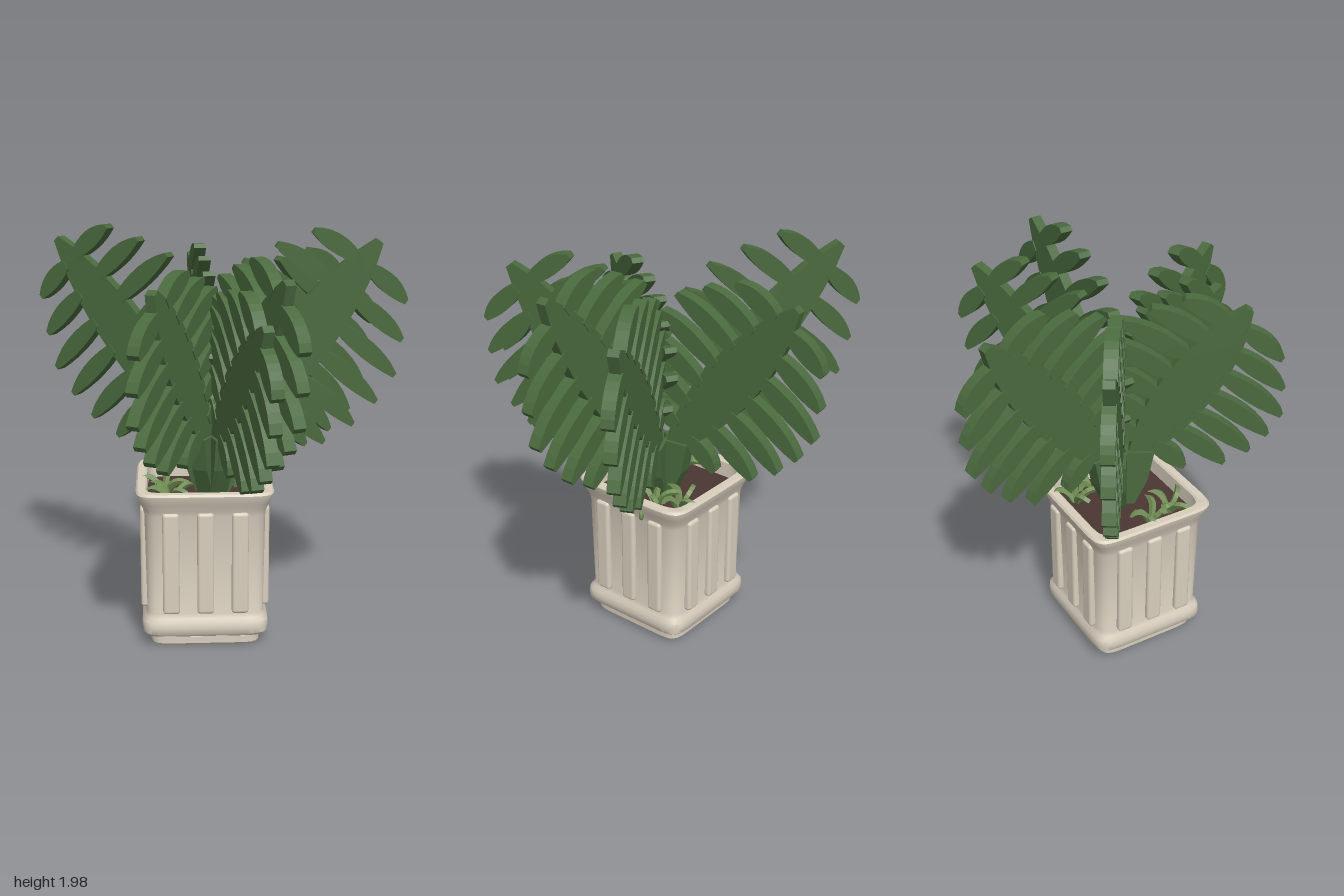
import * as THREE from 'three';
import { toCreasedNormals } from 'three/addons/utils/BufferGeometryUtils.js';
import { RoundedBoxGeometry } from 'three/addons/geometries/RoundedBoxGeometry.js';

const colour = (name, hex) => {
  const m = new THREE.MeshStandardMaterial({ color: hex });
  m.name = name;
  return m;
};

// Lathe whose round section is pushed out to a rounded square
function squareLathe(profile) {
  const geo = new THREE.LatheGeometry(profile.map(([r, y]) => new THREE.Vector2(r, y)), 96);
  const p = geo.attributes.position;
  for (let i = 0; i < p.count; i++) {
    const x = p.getX(i), z = p.getZ(i), r = Math.hypot(x, z);
    if (r < 1e-6) continue;
    const n = 9;
    const k = Math.pow(Math.abs(x / r) ** n + Math.abs(z / r) ** n, -1 / n);
    p.setX(i, x * k);
    p.setZ(i, z * k);
  }
  return toCreasedNormals(geo, 0.7);
}

// Flat plate centred on z = 0
function plate(shape, depth, segments = 6) {
  const geo = new THREE.ExtrudeGeometry(shape, { depth, bevelEnabled: false, curveSegments: segments });
  return geo.translate(0, 0, -depth / 2);
}

// Lance-shaped leaf lying along +x
function bladeShape(length) {
  const s = new THREE.Shape();
  s.moveTo(0, -0.04);
  s.bezierCurveTo(length * 0.3, -0.16, length * 0.7, -0.165, length, -0.018);
  s.lineTo(length, 0.018);
  s.bezierCurveTo(length * 0.7, 0.165, length * 0.3, 0.16, 0, 0.04);
  return s;
}

// Small side leaf along +x, its tip drooping to -y
function leafletShape(length) {
  const s = new THREE.Shape(), w = 0.046;
  s.moveTo(0, -0.028);
  s.quadraticCurveTo(length * 0.5, -w * 1.45, length, -0.035);
  s.lineTo(length, -0.008);
  s.quadraticCurveTo(length * 0.6, w * 1.5, 0, 0.028);
  return s;
}

export function createModel() {
  const stone = colour('pale stone', 0xd8cebd);
  const earth = colour('dark soil', 0x4b3531);
  const leaf = colour('leaf green', 0x4a6a3e);
  const young = colour('young green', 0x728f55);
  const model = new THREE.Group();
  model.name = 'pottedPlant';
  const add = (parent, name, geo, mat) => {
    const m = new THREE.Mesh(geo, mat);
    m.name = name;
    parent.add(m);
    return m;
  };

  // Pot: foot, bead, wall, flared rim and inner lip
  const pot = new THREE.Group();
  pot.name = 'pot';
  pot.position.set(-0.075, 0, 0.035);
  model.add(pot);
  add(pot, 'potBody', squareLathe([
    [0, 0], [0.255, 0], [0.264, 0.01], [0.264, 0.045], [0.255, 0.055],
    [0.29, 0.058], [0.303, 0.072], [0.306, 0.1], [0.303, 0.13], [0.29, 0.148],
    [0.282, 0.17], [0.29, 0.66], [0.298, 0.69], [0.313, 0.725], [0.325, 0.755],
    [0.328, 0.77], [0.32, 0.781], [0.285, 0.781], [0.276, 0.772], [0.272, 0.66],
  ]), stone);

  // Three raised ribs on each wall
  const rib = new RoundedBoxGeometry(0.08, 0.505, 0.04, 3, 0.016);
  for (let side = 0; side < 4; side++) {
    const wall = new THREE.Group();
    wall.name = 'wallRibs';
    wall.rotation.y = side * Math.PI / 2;
    pot.add(wall);
    for (const x of [-0.164, 0, 0.164]) add(wall, 'rib', rib, stone).position.set(x, 0.43, 0.29);
  }
  add(pot, 'soil', squareLathe([[0.274, 0.695], [0, 0.7]]), earth);

  // Fronds: horizontal direction (x, z), reach and height of the main blade tip
  const fronds = [
    [-0.84, -0.55, 0.9, 1.89],
    [-0.1, -0.9, 0.71, 1.79],
    [0.85, -0.41, 0.83, 1.76],
    [0.94, -0.02, 0.79, 1.915],
    [0.36, 0.83, 0.74, 1.81],
    [0.24, 0.82, 0.73, 1.62],
    [-0.39, 0.72, 0.59, 1.75],
  ];
  const reach = [0.24, 0.39, 0.45, 0.47, 0.46, 0.38, 0.28];
  const stem = new THREE.Shape([[-0.03, 0.66], [0.06, 0.66], [0.14, 0.84], [0.17, 1.0], [0.03, 1.0]]
    .map(([x, y]) => new THREE.Vector2(x, y)));
  const stemGeo = plate(stem, 0.08);

  for (const [dx, dz, r, y] of fronds) {
    const frond = new THREE.Group();
    frond.name = 'frond';
    frond.position.set(-0.03, 0, 0.035);
    frond.rotation.y = Math.atan2(-dz, dx);
    model.add(frond);
    add(frond, 'stem', stemGeo, leaf);

    const blade = new THREE.Group();
    blade.name = 'blade';
    blade.position.set(0.08, 0.98, 0);
    blade.rotation.z = Math.atan2(y - 0.98, r - 0.08);
    frond.add(blade);
    const length = Math.hypot(y - 0.98, r - 0.08);
    add(blade, 'mainLeaf', plate(bladeShape(length), 0.05, 12), leaf);

    // Paired side leaves standing out across the main leaf
    reach.forEach((end, i) => {
      const t = 0.1 + i * 0.132;
      const start = 0.015 + 0.09 * Math.sin(Math.PI * t);
      const geo = plate(leafletShape(end - start), 0.06);
      for (const side of [-1, 1]) {
        const l = add(blade, 'sideLeaf', geo, leaf);
        l.position.set(t * length, side * start, 0);
        l.rotation.set(side > 0 ? Math.PI : 0, 0, -Math.PI / 2);
      }
    });
  }

  // Small curled shoots leaning over the soil
  const curl = new THREE.Shape();
  curl.moveTo(0, 0);
  curl.quadraticCurveTo(0.03, 0.135, 0.12, 0.08);
  curl.quadraticCurveTo(0.045, 0.085, 0.022, 0);
  const curlGeo = plate(curl, 0.022);
  const clumps = [[-0.27, 0.08], [-0.24, 0.2], [0.06, -0.16], [0.1, -0.04]];
  clumps.forEach(([x, z], c) => {
    for (let k = 0; k < 4; k++) {
      const shoot = add(model, 'shoot', curlGeo, young);
      shoot.position.set(x, 0.7, z);
      shoot.rotation.set(0.45, c * 0.8 + k * 1.5 + (k % 2) * 0.4, 0, 'YXZ');
    }
  });
  const stray = add(model, 'strayShoot', new THREE.SphereGeometry(1, 10, 8), young);
  stray.scale.set(0.015, 0.026, 0.011);
  stray.position.set(0.235, 0.7, -0.06);

  return model;
}
